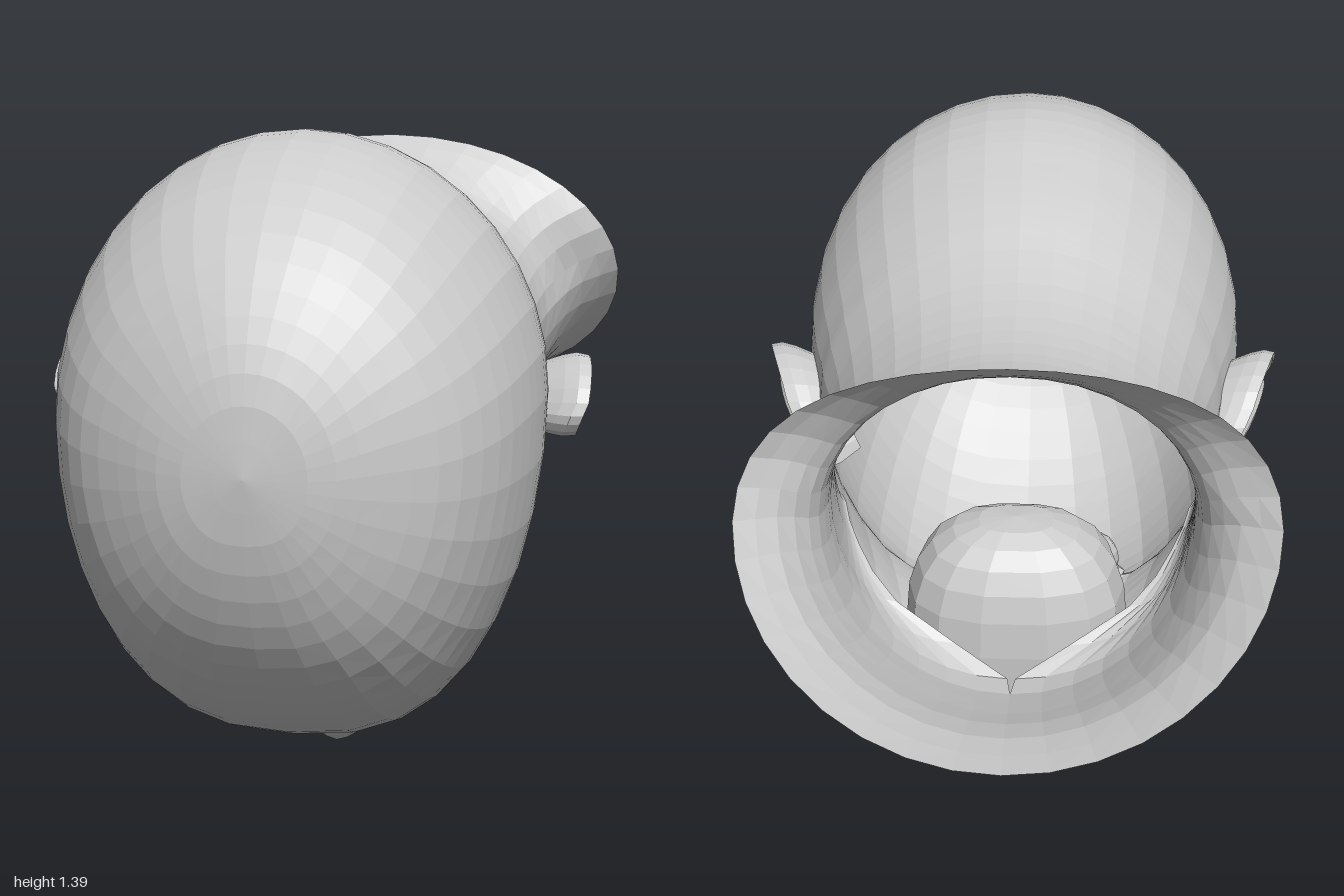
import * as THREE from 'three';

const V = (x, y, z) => new THREE.Vector3(x, y, z);
const { smoothstep } = THREE.MathUtils;
const material = new THREE.MeshStandardMaterial({ color: 0xcccccc, flatShading: true, side: THREE.DoubleSide });

// Surface through a list of rings that all hold the same number of points
function surface(rings) {
  const n = rings[0].length, pos = [], index = [];
  rings.forEach(r => r.forEach(p => pos.push(p.x, p.y, p.z)));
  for (let i = 0; i < rings.length - 1; i++)
    for (let j = 0; j < n - 1; j++) {
      const a = i * n + j, b = a + n;
      index.push(a, b, a + 1, a + 1, b, b + 1);
    }
  const g = new THREE.BufferGeometry();
  g.setAttribute('position', new THREE.Float32BufferAttribute(pos, 3));
  g.setIndex(index);
  g.computeVertexNormals();
  return g;
}

// Symmetric loft. Station: [topY, topZ, sideX, sideY, sideZ, bottomX, bottomY, bottomZ]
// xPower sets how full the lower half is, zPower how its edge bends
function loft(stations, steps, { q = 9, zPower = 1, xPower = () => 1, shape = p => p } = {}) {
  const top = new THREE.CatmullRomCurve3(stations.map(s => V(0, s[0], s[1])));
  const side = new THREE.CatmullRomCurve3(stations.map(s => V(s[2], s[3], s[4])));
  const low = new THREE.CatmullRomCurve3(stations.map(s => V(s[5], s[6], s[7])));
  const rings = [];
  for (let i = 0; i <= steps; i++) {
    const T = top.getPoint(i / steps), S = side.getPoint(i / steps), B = low.getPoint(i / steps);
    const bx = Math.max(0, B.x), half = [];
    for (let j = 0; j <= 2 * q; j++) {
      const a = (j / q) * Math.PI / 2, s = Math.max(0, Math.sin(a)), c = Math.cos(a);
      if (j <= q) half.push(V(S.x * s, S.y + (T.y - S.y) * c, S.z + (T.z - S.z) * c));
      else half.push(V(bx + (S.x - bx) * Math.pow(s, xPower(S.z)),
        S.y - (B.y - S.y) * c, S.z + (B.z - S.z) * Math.pow(-c, zPower)));
    }
    const mirror = half.slice(1).reverse().map(p => V(-p.x, p.y, p.z));
    rings.push([...mirror, ...half].map(shape));
  }
  return surface(rings);
}

// Hollows around the eyes and the straight edge at the lip
function faceForm(p) {
  p.z = Math.max(p.z, -0.155);
  if (p.y > 0.6) return p;
  const dx = Math.abs(p.x) - 0.16, dz = p.z - 0.28;
  p.y += 0.045 * Math.exp(-(dx * dx) / 0.007 - (dz * dz) / 0.004);
  return p;
}

// Forward bow of the upper neck rim
function rimBow(p) {
  const u = THREE.MathUtils.clamp((p.y - 0.98) / 0.32, 0, 1);
  p.z += 0.2 * u * (1 - u) * smoothstep(-p.z, 0.42, 0.62);
  return p;
}

export function createModel() {
  const model = new THREE.Group();
  const add = (name, geometry, parent = model) => {
    const m = new THREE.Mesh(geometry, material);
    m.name = name;
    parent.add(m);
    return m;
  };

  // Skull and face, from the crown to the upper lip
  add('skullAndFace', loft([
    [0.78, 1.0, 0, 0.78, 1.0, 0, 0.78, 1.0],
    [0.95, 0.98, 0.15, 0.78, 0.98, 0, 0.62, 0.98],
    [1.08, 0.93, 0.26, 0.79, 0.93, 0, 0.48, 0.93],
    [1.20, 0.85, 0.37, 0.8, 0.85, 0, 0.36, 0.85],
    [1.31, 0.72, 0.445, 0.82, 0.72, 0, 0.24, 0.72],
    [1.37, 0.58, 0.48, 0.84, 0.58, 0, 0.165, 0.58],
    [1.39, 0.45, 0.493, 0.85, 0.45, 0, 0.135, 0.44],
    [1.375, 0.33, 0.49, 0.85, 0.33, 0, 0.145, 0.34],
    [1.35, 0.25, 0.48, 0.85, 0.25, 0, 0.18, 0.27],
    [1.325, 0.18, 0.468, 0.85, 0.18, 0, 0.18, 0.18],
    [1.29, 0.1, 0.45, 0.85, 0.11, 0, 0.14, 0.06],
    [1.265, 0.05, 0.44, 0.85, 0.05, 0, 0.09, -0.08],
    [1.25, 0.02, 0.43, 0.85, 0.01, 0, 0.08, -0.24],
  ], 30, {
    zPower: 4,
    xPower: z => 1.15 - 0.38 * smoothstep(z, 0.02, 0.4),
    shape: faceForm,
  }));

  // Neck, cut away below the jaw and flared at its open end
  add('neck', loft([
    [1.25, 0.02, 0.43, 0.85, 0.01, 0.41, 0.62, 0.0],
    [1.21, -0.08, 0.41, 0.85, -0.06, 0.385, 0.68, -0.06],
    [1.185, -0.2, 0.39, 0.85, -0.18, 0.35, 0.67, -0.2],
    [1.18, -0.31, 0.382, 0.85, -0.3, 0.26, 0.6, -0.34],
    [1.19, -0.4, 0.38, 0.87, -0.41, 0, 0.48, -0.48],
    [1.21, -0.48, 0.395, 0.9, -0.51, 0, 0.53, -0.64],
    [1.25, -0.56, 0.45, 0.95, -0.59, 0, 0.61, -0.84],
    [1.3, -0.605, 0.54, 0.98, -0.66, 0, 0.63, -1.0],
  ], 16, { zPower: 1.1, shape: rimBow }));

  // Nose, narrowing downwards to its tip
  add('nose', loft([
    [0.22, 0.34, 0.02, 0.18, 0.34, 0, 0.15, 0.34],
    [0.24, 0.25, 0.065, 0.2, 0.25, 0, 0.115, 0.26],
    [0.22, 0.17, 0.09, 0.16, 0.17, 0, 0.055, 0.17],
    [0.18, 0.1, 0.11, 0.13, 0.1, 0, 0.004, 0.1],
    [0.16, 0.05, 0.1, 0.12, 0.05, 0, 0.004, 0.06],
    [0.15, 0.02, 0.06, 0.11, 0.02, 0, 0.05, 0.02],
    [0.14, 0.0, 0, 0.12, 0.0, 0, 0.11, 0.0],
  ], 12, { q: 5, xPower: () => 1.4 }));

  // Mouth bag: a boxy dome, open towards the lips
  const bagShape = new THREE.SphereGeometry(1, 14, 10, 0, Math.PI * 2, 0, Math.PI * 0.83);
  const bagPos = bagShape.attributes.position;
  const puff = v => Math.sign(v) * Math.pow(Math.abs(v), 0.8);
  for (let i = 0; i < bagPos.count; i++)
    bagPos.setXYZ(i, puff(bagPos.getX(i)), puff(bagPos.getY(i)), puff(bagPos.getZ(i)));
  const bag = add('mouthBag', bagShape);
  bag.scale.set(0.245, 0.265, 0.175);
  bag.position.set(0, 0.415, -0.135);

  // Lips: a fuller upper one and a thin lower rim
  const lip = (name, pts, r) => add(name, new THREE.TubeGeometry(
    new THREE.CatmullRomCurve3(pts), 16, r, 7));
  lip('upperLip', [V(-0.19, 0.2, -0.13), V(-0.1, 0.13, -0.128), V(0, 0.105, -0.125),
    V(0.1, 0.13, -0.128), V(0.19, 0.2, -0.13)], 0.03);
  lip('lowerLip', [V(-0.19, 0.21, -0.15), V(-0.11, 0.18, -0.205), V(0, 0.168, -0.22),
    V(0.11, 0.18, -0.205), V(0.19, 0.21, -0.15)], 0.018);

  // Ear outline as seen from the side: [y, z]
  const outline = new THREE.CatmullRomCurve3([[0.8, 0.335], [0.87, 0.29], [0.91, 0.2], [0.875, 0.09],
    [0.79, 0.02], [0.71, 0.005], [0.735, 0.11], [0.75, 0.24], [0.755, 0.31]].map(([y, z]) => V(0, y, z)), true);
  // Ear rings from the head over the rim into the hollow: [scale, x offset]
  const earRings = [[0.72, -0.12], [0.94, -0.055], [1, -0.025], [0.96, 0], [0.87, -0.005],
    [0.79, -0.045], [0.5, -0.06], [0.02, -0.07]];

  for (const s of [-1, 1]) {
    const side = s > 0 ? 'left' : 'right';
    const ear = new THREE.Group();
    ear.name = side + 'Ear';
    ear.scale.x = s;
    add('earShell', surface(earRings.map(([k, dx]) => outline.getPoints(24).map(p => {
      const y = 0.8 + (p.y - 0.8) * k, z = 0.17 + (p.z - 0.17) * k;
      const lean = 0.49 + 0.085 * Math.sin(Math.min(1, Math.max(0, z / 0.31)) * Math.PI / 2);
      return V(lean + dx - 0.4 * Math.max(0, 0.83 - y), y, z);
    }))), ear);
    add('innerFold', new THREE.TubeGeometry(new THREE.CatmullRomCurve3([
      V(0.52, 0.79, 0.27), V(0.53, 0.84, 0.2), V(0.51, 0.82, 0.11), V(0.475, 0.76, 0.07)]), 10, 0.018, 6), ear);
    add('earFlap', new THREE.SphereGeometry(0.028, 8, 6), ear).position.set(0.485, 0.765, 0.15);
    model.add(ear);

    // Eyeball with upper and lower lids
    add(side + 'Eyeball', new THREE.SphereGeometry(0.065, 12, 8)).position.set(s * 0.165, 0.31, 0.28);
    const lids = add(side + 'Eyelids', new THREE.TorusGeometry(0.06, 0.016, 6, 16));
    lids.rotation.set(Math.PI / 2, s * 0.35, 0);
    lids.scale.set(1.1, 0.6, 1);
    lids.position.set(s * 0.165, 0.247, 0.28);

    // Nostril wing
    const wing = add(side + 'NostrilWing', new THREE.SphereGeometry(0.036, 10, 8));
    wing.scale.set(0.9, 1.2, 1.1);
    wing.position.set(s * 0.065, 0.1, 0.045);
  }
  return model;
}
